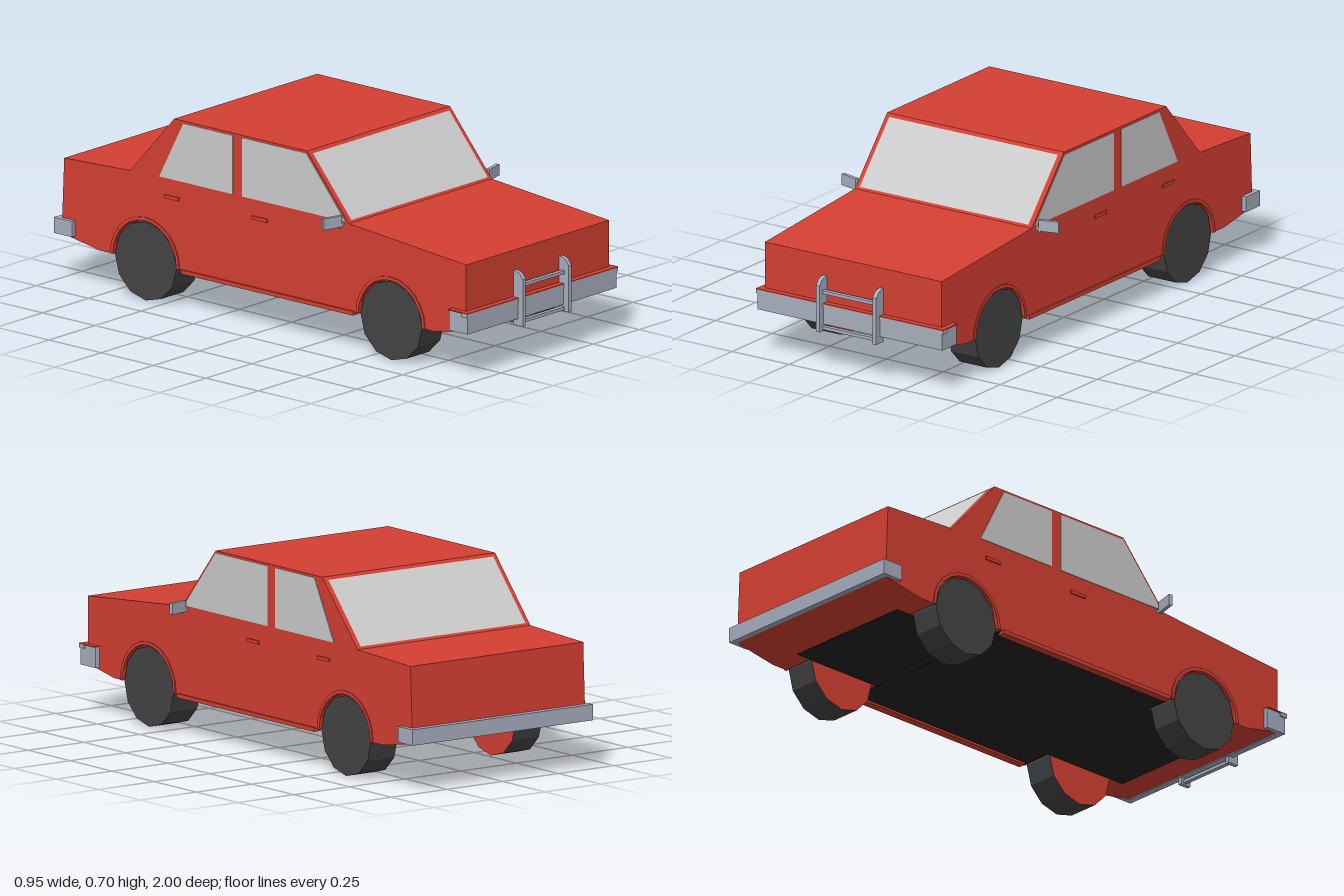
import * as THREE from 'three';

const mat = (color) => new THREE.MeshStandardMaterial({ color, flatShading: true });

export function createModel() {
  const car = new THREE.Group();
  car.name = 'sedan';
  const red = mat(0xd43f32), metal = mat(0xa8aebe), tyre = mat(0x444444), under = mat(0x222222);
  const glass = new THREE.MeshStandardMaterial({ color: 0xcccccc, side: THREE.DoubleSide });
  const W = 0.388, AXLES = [0.595, -0.578], AXLE_Y = 0.15;

  const add = (name, geometry, material) => {
    const mesh = new THREE.Mesh(geometry, material);
    mesh.name = name;
    car.add(mesh);
    return mesh;
  };
  // box given by its limits on each axis
  const box = (name, [x0, x1], [y0, y1], [z0, z1], material) => {
    const g = new THREE.BoxGeometry(x1 - x0, y1 - y0, z1 - z0);
    g.translate((x0 + x1) / 2, (y0 + y1) / 2, (z0 + z1) / 2);
    return add(name, g, material);
  };
  // side outline of [z, y] points, extruded across x
  const slab = (name, points, x0, x1, material) => {
    const shape = new THREE.Shape(points.map(([z, y]) => new THREE.Vector2(z, y)));
    const g = new THREE.ExtrudeGeometry(shape, { depth: x1 - x0, bevelEnabled: false });
    g.rotateY(-Math.PI / 2).translate(x1, 0, 0);
    return add(name, g, material);
  };
  const mirrored = (s, a, b) => (s > 0 ? [a, b] : [-b, -a]);
  // half circle over a wheel, from rear to front
  const arch = (z, r, n = 12) => Array.from({ length: n + 1 }, (_, i) => {
    const a = Math.PI * (1 - i / n);
    return [z + r * Math.cos(a), AXLE_Y + r * Math.sin(a)];
  });

  // body shell with wheel arches cut out
  slab('body', [
    [0.955, 0.18], [0.955, 0.427], [0.395, 0.475], [0.195, 0.708], [-0.44, 0.708],
    [-0.65, 0.475], [-0.965, 0.462], [-0.977, 0.18], [-0.8, 0.15],
    ...arch(AXLES[1], 0.157), ...arch(AXLES[0], 0.157), [0.8, 0.15],
  ], -W, W, red);

  // inner walls of the wheel wells and dark underside
  box('wheelWellCore', [-0.26, 0.26], [0.152, 0.32], [-0.78, 0.78], red);
  box('floor', [-0.26, 0.26], [0.147, 0.153], [-0.8, 0.8], under);
  box('floorMiddle', [-0.375, 0.375], [0.146, 0.152], [-0.41, 0.43], under);

  // windscreen and rear window, lying just above the sloped frames
  const pane = (name, [z0, y0], [z1, y1], out) => {
    const g = new THREE.PlaneGeometry(0.74, 1);
    const p = g.attributes.position;
    for (let i = 0; i < p.count; i++) {
      const t = p.getY(i) + 0.5;
      p.setXYZ(i, p.getX(i), y0 + (y1 - y0) * t + 0.002, z0 + (z1 - z0) * t + out);
    }
    g.computeVertexNormals();
    add(name, g, glass);
  };
  pane('windscreen', [0.389, 0.482], [0.205, 0.696], 0.002);
  pane('rearWindow', [-0.643, 0.482], [-0.451, 0.696], -0.002);

  for (const s of [1, -1]) {
    const side = s > 0 ? 'left' : 'right';

    // side windows
    slab(side + 'FrontWindow', [[0.38, 0.48], [0.193, 0.699], [-0.115, 0.699], [-0.115, 0.48]],
      ...mirrored(s, W - 0.01, W + 0.002), glass);
    slab(side + 'RearWindow', [[-0.16, 0.48], [-0.16, 0.699], [-0.395, 0.699], [-0.51, 0.48]],
      ...mirrored(s, W - 0.01, W + 0.002), glass);

    // sill and door handles
    box(side + 'Sill', mirrored(s, 0.365, 0.395), [0.138, 0.153], [-0.4, 0.42], red);
    for (const z of [-0.03, -0.45])
      box(side + 'DoorHandle', mirrored(s, W - 0.005, 0.393), [0.405, 0.418], [z - 0.035, z + 0.035], red);

    // wheels with lips over them
    AXLES.forEach((z, i) => {
      const end = i ? 'Rear' : 'Front';
      const wheel = add(side + end + 'Wheel', new THREE.CylinderGeometry(0.147, 0.147, 0.12, 12),
        [tyre, tyre, red]);
      wheel.rotation.z = -s * Math.PI / 2;
      wheel.position.set(s * 0.325, AXLE_Y, z);
      slab(side + end + 'ArchLip', [...arch(z, 0.165), ...arch(z, 0.152).reverse()],
        ...mirrored(s, 0.375, 0.392), red);
    });

    // door mirror: angled housing on a short arm
    const mirror = new THREE.Group();
    mirror.name = side + 'Mirror';
    const housing = new THREE.Mesh(new THREE.BoxGeometry(0.077, 0.042, 0.014), metal);
    housing.name = 'mirrorHousing';
    housing.position.set(s * 0.437, 0.482, 0.356);
    housing.rotation.y = s * 0.26;
    const arm = new THREE.Mesh(new THREE.BoxGeometry(0.036, 0.008, 0.012), metal);
    arm.name = 'mirrorArm';
    arm.position.set(s * 0.394, 0.468, 0.365);
    arm.rotation.z = -s * 0.5;
    mirror.add(housing, arm);
    car.add(mirror);

    // bumper ends wrapping round the corners
    box(side + 'FrontBumperEnd', mirrored(s, 0.385, 0.405), [0.175, 0.25], [0.887, 0.976], metal);
    box(side + 'FrontBumperEndCap', mirrored(s, 0.385, 0.41), [0.25, 0.254], [0.887, 0.976], red);
    box(side + 'RearBumperEnd', mirrored(s, 0.385, 0.405), [0.18, 0.238], [-1, -0.913], metal);

    // guard post with a chamfered top
    slab(side + 'GuardPost', [[0.955, 0.15], [1, 0.15], [1, 0.325], [0.985, 0.345], [0.965, 0.352], [0.955, 0.352]],
      ...mirrored(s, 0.116, 0.132), metal);
  }

  // bumper beams
  box('frontBumper', [-0.405, 0.405], [0.175, 0.237], [0.95, 0.976], metal);
  box('frontBumperRim', [-0.41, 0.41], [0.237, 0.25], [0.95, 0.979], metal);
  box('frontBumperCap', [-0.41, 0.41], [0.25, 0.254], [0.95, 0.979], red);
  box('rearBumper', [-0.405, 0.405], [0.18, 0.238], [-1, -0.968], metal);

  // guard cross bars
  for (const y of [0.162, 0.297])
    box('guardCrossBar', [-0.118, 0.118], [y - 0.006, y + 0.006], [0.965, 0.982], metal);

  return car;
}
